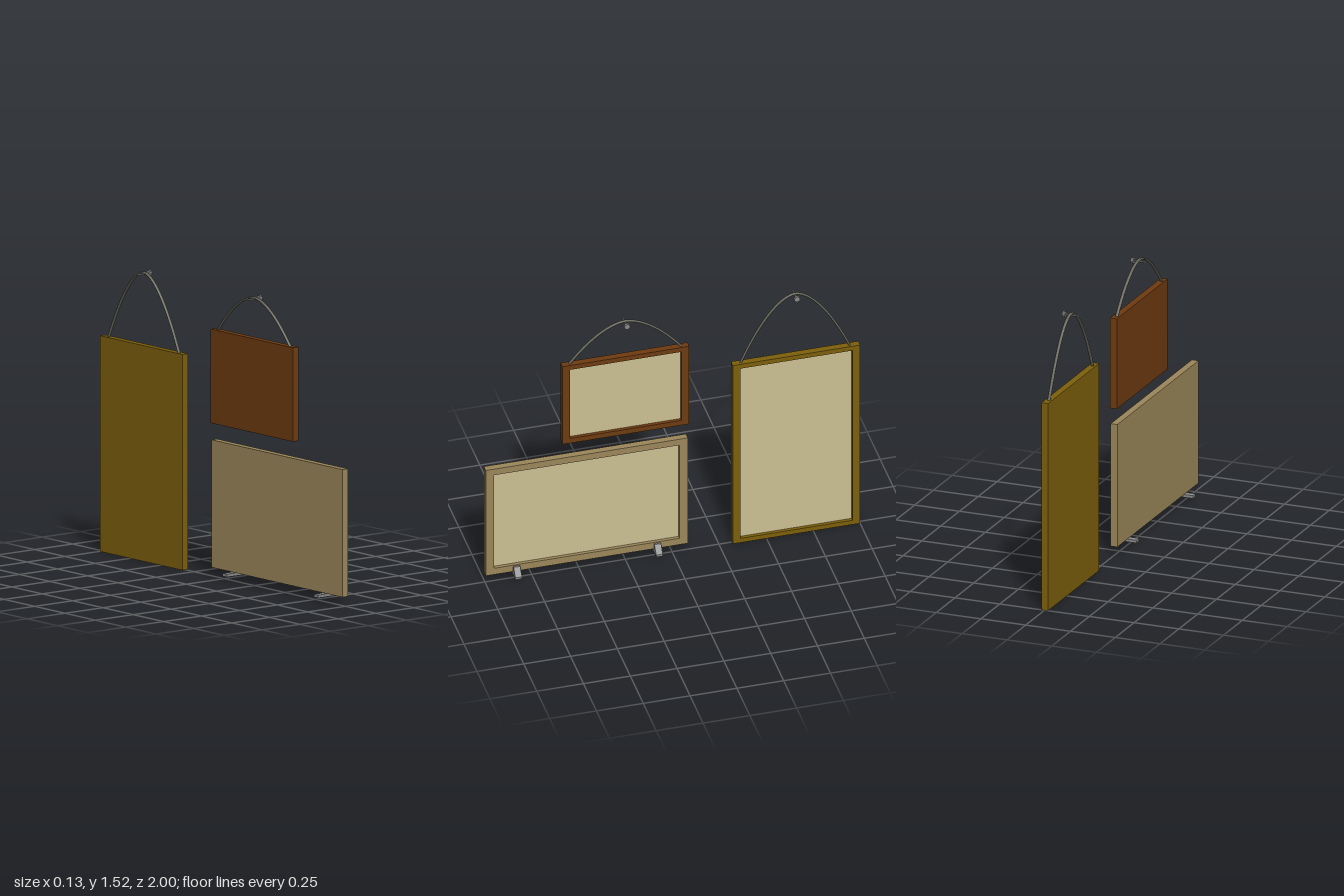
import * as THREE from 'three';

const BACK = -0.02, FRONT = 0.017, RECESS = 0.018;

const mat = (color) => new THREE.MeshStandardMaterial({ color });

function add(parent, name, geometry, material) {
  const mesh = new THREE.Mesh(geometry, material);
  mesh.name = name;
  parent.add(mesh);
  return mesh;
}

// A framed picture facing +x: outer and inner limits are [z0, z1, y0, y1]
function framedPicture(name, outer, inner, frameMaterial, pictureMaterial) {
  const group = new THREE.Group();
  group.name = name;
  const rect = (path, [z0, z1, y0, y1]) =>
    path.moveTo(-z1, y0).lineTo(-z0, y0).lineTo(-z0, y1).lineTo(-z1, y1).closePath();
  const shape = new THREE.Shape();
  rect(shape, outer);
  const hole = new THREE.Path();
  rect(hole, inner);
  shape.holes.push(hole);
  const rim = new THREE.ExtrudeGeometry(shape, { depth: FRONT - BACK, bevelEnabled: false });
  rim.rotateY(Math.PI / 2).translate(BACK, 0, 0);
  add(group, 'frame', rim, frameMaterial);

  // Backing board closes the rear, the picture lies on it inside the rim
  const panel = (partName, x0, x1, material) => {
    const [z0, z1, y0, y1] = inner;
    const geometry = new THREE.BoxGeometry(x1 - x0, y1 - y0, z1 - z0);
    geometry.translate((x0 + x1) / 2, (y0 + y1) / 2, (z0 + z1) / 2);
    add(group, partName, geometry, material);
  };
  const face = FRONT - RECESS;
  panel('backingBoard', BACK, face - 0.004, frameMaterial);
  panel('picture', face - 0.004, face, pictureMaterial);
  return group;
}

// Cord draped over a nail, ending on the top edge of a frame
function hanger(name, z, halfSpan, endY, cordMaterial, nailMaterial) {
  const group = new THREE.Group();
  group.name = name;
  const top = 1.508, squash = 0.65;
  const points = [];
  for (let i = -8; i <= 8; i++) {
    const t = i / 8;
    const drop = Math.pow(Math.abs(t), 1.75) * (top - endY);
    points.push(new THREE.Vector3(-0.003, (top - drop) / squash, (z + t * halfSpan) / squash));
  }
  const cord = new THREE.TubeGeometry(new THREE.CatmullRomCurve3(points), 48, 0.009, 8);
  cord.scale(1, squash, squash);
  add(group, 'cord', cord, cordMaterial);

  // Nail lying along x with its head toward the front of the picture
  const profile = [[0, -0.065], [0.005, -0.04], [0.005, 0.025], [0.016, 0.025], [0.016, 0.04], [0, 0.04]]
    .map(([r, y]) => new THREE.Vector2(r, y));
  const nail = new THREE.LatheGeometry(profile, 8).toNonIndexed();
  nail.computeVertexNormals();
  nail.rotateZ(-Math.PI / 2).translate(0, 1.5, z);
  add(group, 'nail', nail, nailMaterial);
  return group;
}

// Shelf bracket with a sloping lip in front of the frame
function bracket(z, material) {
  const shape = new THREE.Shape([[-0.065, 0.03], [0.065, 0.03], [0.065, 0.043], [0.03, 0.085],
    [0.02, 0.085], [0.02, 0.05], [0, 0.05], [-0.015, 0.045], [-0.065, 0.045]]
    .map(([x, y]) => new THREE.Vector2(x, y)));
  const width = 0.035;
  const geometry = new THREE.ExtrudeGeometry(shape, { depth: width, bevelEnabled: false });
  geometry.translate(0, 0, z - width / 2);
  const mesh = new THREE.Mesh(geometry, material);
  mesh.name = 'bracket';
  return mesh;
}

export function createModel() {
  const model = new THREE.Group();
  model.name = 'hangingPictures';
  const picture = mat(0xcbbf92), cord = mat(0x66665a), metal = mat(0x8a8a8a);

  model.add(
    framedPicture('smallPicture', [-0.087, 0.59, 0.805, 1.297], [-0.045, 0.55, 0.835, 1.27], mat(0x6e3b10), picture),
    framedPicture('widePicture', [-0.08, 1, 0.05, 0.718], [-0.035, 0.957, 0.09, 0.68], mat(0x9b875a), picture),
    framedPicture('tallPicture', [-1, -0.32, 0, 1.13], [-0.96, -0.36, 0.027, 1.103], mat(0x7d600c), picture),
    hanger('smallHanger', 0.25, 0.302, 1.29, cord, metal),
    hanger('tallHanger', -0.658, 0.292, 1.125, cord, metal),
  );
  for (const z of [0.837, 0.085]) model.add(bracket(z, metal));
  return model;
}
